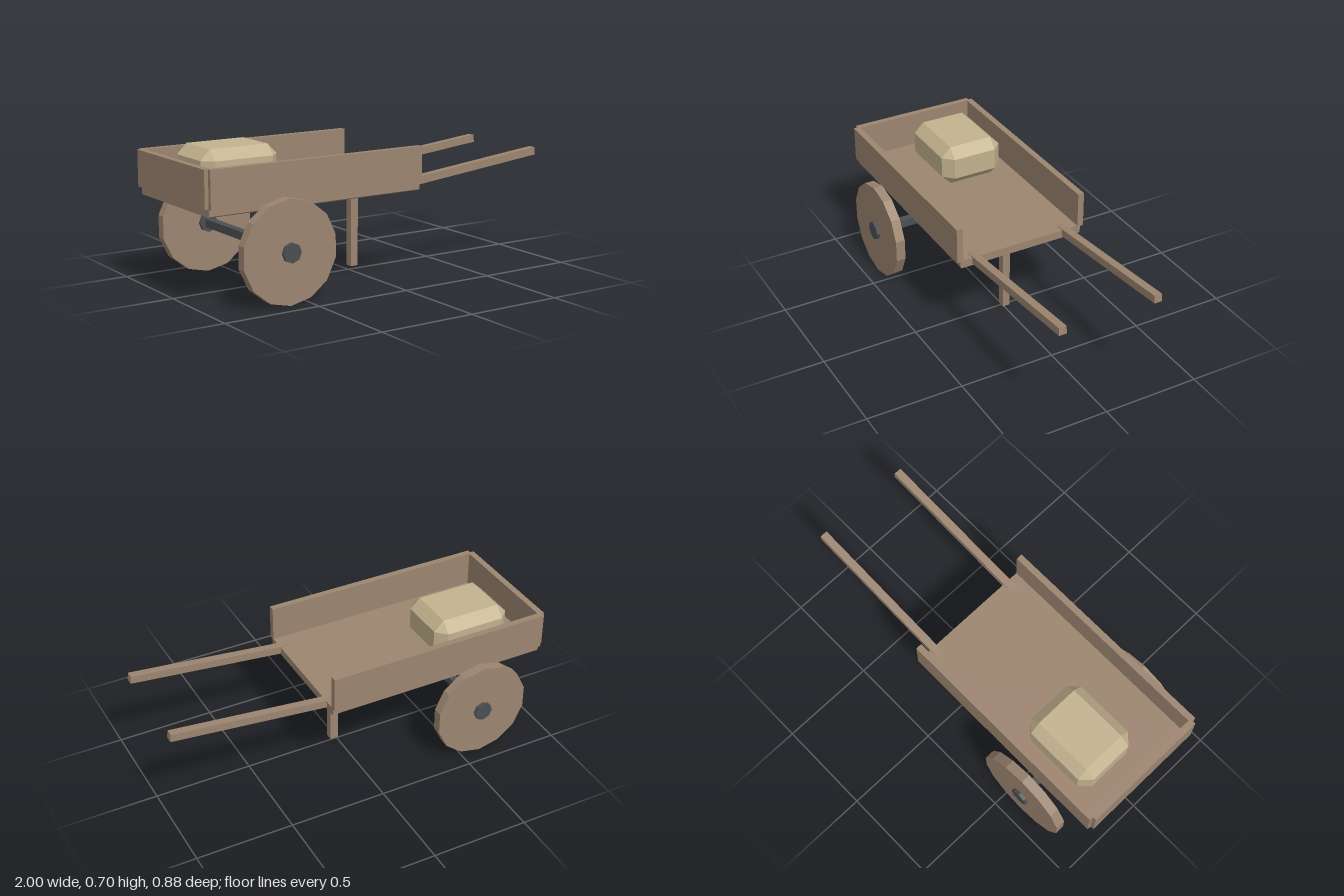
import * as THREE from 'three';
import { ConvexGeometry } from 'three/addons/geometries/ConvexGeometry.js';

export function createModel() {
  const material = (name, color) => {
    const m = new THREE.MeshStandardMaterial({ color });
    m.name = name;
    return m;
  };
  const wood = material('wood', 0x9c8570);
  const straw = material('straw', 0xc2b28e);
  const iron = material('iron', 0x4b4f51);

  const cart = new THREE.Group();
  cart.name = 'handcart';
  const add = (name, geometry, mat) => {
    const mesh = new THREE.Mesh(geometry, mat);
    mesh.name = name;
    cart.add(mesh);
    return mesh;
  };
  // Box given by its low and high limits on each axis
  const box = (name, mat, [x0, x1], [y0, y1], [z0, z1]) =>
    add(name, new THREE.BoxGeometry(x1 - x0, y1 - y0, z1 - z0), mat)
      .position.set((x0 + x1) / 2, (y0 + y1) / 2, (z0 + z1) / 2);
  // Flat-sided disc across z, with a corner pointing straight down
  const disc = (name, mat, radius, width, sides, z) => {
    const g = new THREE.CylinderGeometry(radius, radius, width, sides).toNonIndexed();
    g.rotateX(Math.PI / 2);
    g.computeVertexNormals();
    add(name, g, mat).position.set(-0.605, 0.254, z);
  };

  // Bed: floor with slightly chamfered lower edges
  const profile = new THREE.Shape([
    [-0.337, 0.487], [-0.337, 0.45], [-0.332, 0.445],
    [0.332, 0.445], [0.337, 0.45], [0.337, 0.487],
  ].map(([z, y]) => new THREE.Vector2(z, y)));
  const floor = new THREE.ExtrudeGeometry(profile, { depth: 1.175, bevelEnabled: false });
  floor.rotateY(Math.PI / 2);
  add('bedFloor', floor, wood).position.x = -0.98;
  box('endWall', wood, [-1, -0.967], [0.485, 0.667], [-0.335, 0.335]);

  // Mirrored side parts
  for (const s of [1, -1]) {
    const side = s > 0 ? 'Front' : 'Back';
    const span = (a, b) => [Math.min(s * a, s * b), Math.max(s * a, s * b)];
    box('sideWall' + side, wood, [-0.98, 0.195], [0.482, 0.667], span(0.322, 0.355));

    // Sloping handle, its inner end let into the floor
    const rise = 0.097, run = 0.928;
    const handle = add('handle' + side,
      new THREE.BoxGeometry(Math.hypot(run, rise), 0.04, 0.04), wood);
    handle.position.set(0.534, 0.5085, s * 0.253);
    handle.rotation.z = Math.atan2(rise, run);

    disc('wheel' + side, wood, 0.254, 0.05, 14, s * 0.398);
    disc('hub' + side, iron, 0.049, 0.084, 8, s * 0.398);
  }

  // Axle and prop leg
  box('axle', iron, [-0.626, -0.584], [0.234, 0.275], [-0.37, 0.37]);
  box('propLeg', wood, [0.003, 0.045], [0.02, 0.44], [-0.02, 0.02]);

  // Chamfered bale: each corner cut back along all three axes
  const half = [0.208, 0.106, 0.168], cut = 0.051, points = [];
  for (const x of [-1, 1]) for (const y of [-1, 1]) for (const z of [-1, 1])
    for (let axis = 0; axis < 3; axis++) {
      const h = half.map((v, i) => (i === axis ? v : v - cut));
      points.push(new THREE.Vector3(x * h[0], y * h[1], z * h[2]));
    }
  add('bale', new ConvexGeometry(points), straw).position.set(-0.647, 0.593, -0.085);

  return cart;
}
